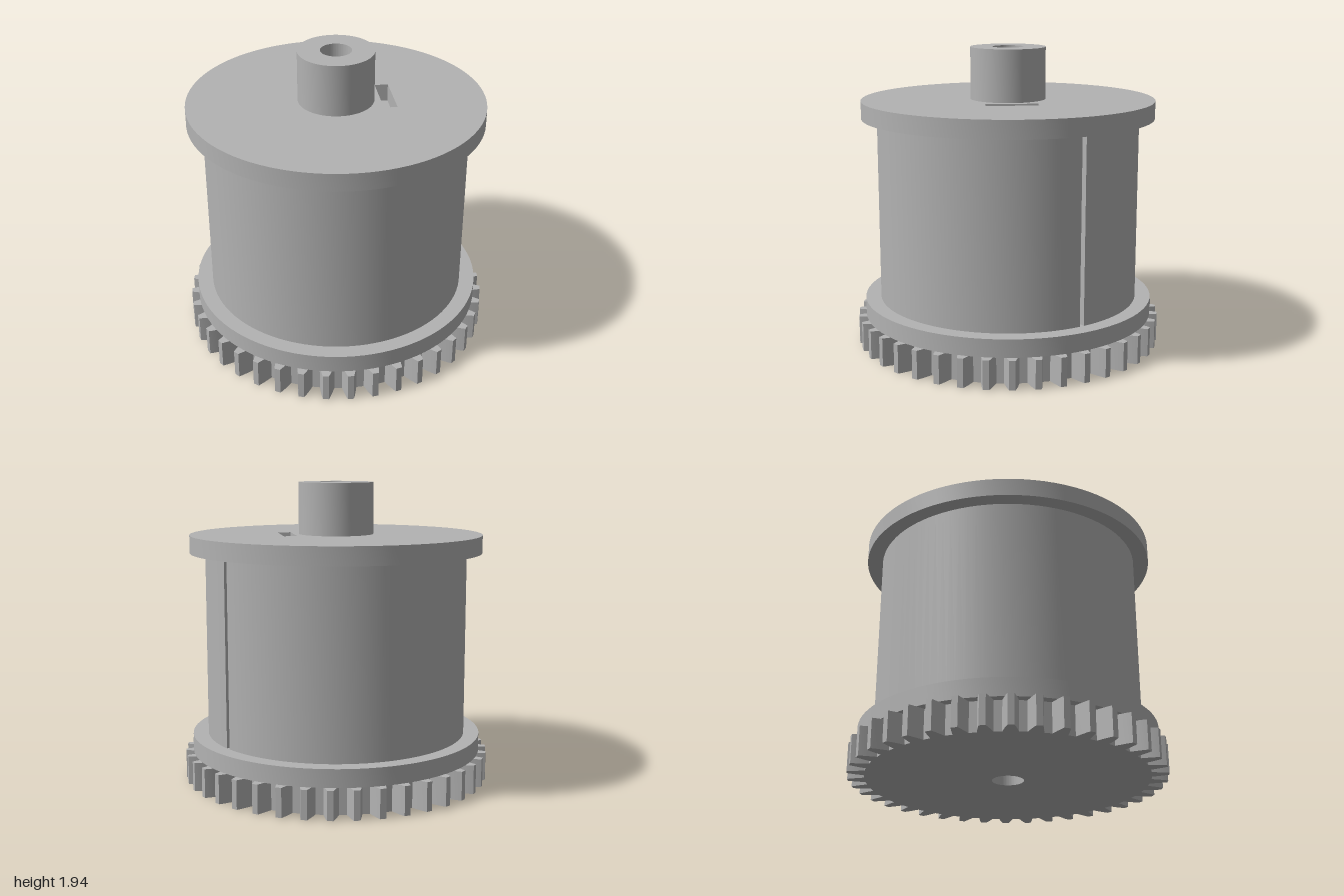
import * as THREE from 'three';
import { toCreasedNormals } from 'three/addons/utils/BufferGeometryUtils.js';

const BORE = 0.1;

export function createModel() {
  const model = new THREE.Group();
  model.name = 'gearedSpool';
  const grey = new THREE.MeshStandardMaterial({ color: 0xb3b3b3 });
  grey.name = 'grey';

  const disc = (r) => new THREE.Shape().absarc(0, 0, r, 0, Math.PI * 2, false);

  // Stands an outline up between two heights, with the axle bore through it
  function addLayer(name, shape, y0, y1) {
    shape.holes.push(new THREE.Path().absarc(0, 0, BORE, 0, Math.PI * 2, true));
    const geo = new THREE.ExtrudeGeometry(shape, {
      depth: y1 - y0, bevelEnabled: false, curveSegments: 48,
    });
    geo.rotateX(-Math.PI / 2).translate(0, y0, 0);
    const mesh = new THREE.Mesh(toCreasedNormals(geo, 0.35), grey);
    mesh.name = name;
    model.add(mesh);
  }

  // Gear: 40 tapered teeth, half-angle narrowing towards the tip
  const teeth = 40;
  const flank = [[0.893, 0.052], [0.945, 0.037], [0.98, 0.026], [1, 0.019]];
  const outline = [];
  for (let i = 0; i < teeth; i++) {
    const mid = ((i + 0.5) / teeth) * Math.PI * 2;
    const at = (r, a) => outline.push(new THREE.Vector2(r * Math.cos(a), r * Math.sin(a)));
    flank.forEach(([r, h]) => at(r, mid - h));
    [...flank].reverse().forEach(([r, h]) => at(r, mid + h));
  }
  addLayer('gear', new THREE.Shape(outline), 0, 0.185);

  // Lower flange
  addLayer('lowerFlange', disc(0.95), 0.185, 0.3);

  // Drum with a narrow upright slot on its left side
  const slotWidth = 0.03, slotBottom = 0.65, r = 0.85;
  const drum = new THREE.Shape();
  drum.moveTo(slotBottom, 0);
  drum.lineTo(r, 0);
  drum.absarc(0, 0, r, 0, Math.PI * 2 - Math.asin(slotWidth / r), false);
  drum.lineTo(slotBottom, -slotWidth);
  drum.closePath();
  addLayer('drum', drum, 0.3, 1.49);

  // Upper flange with a slanted pocket beside the hub
  const upper = disc(0.95);
  upper.holes.push(new THREE.Path([
    [0.325, 0.015], [0.4, -0.028], [0.24, -0.32], [0.165, -0.277],
  ].map(([x, y]) => new THREE.Vector2(x, y))));
  addLayer('upperFlange', upper, 1.49, 1.605);

  // Hub
  addLayer('hub', disc(0.243), 1.605, 1.94);

  return model;
}
